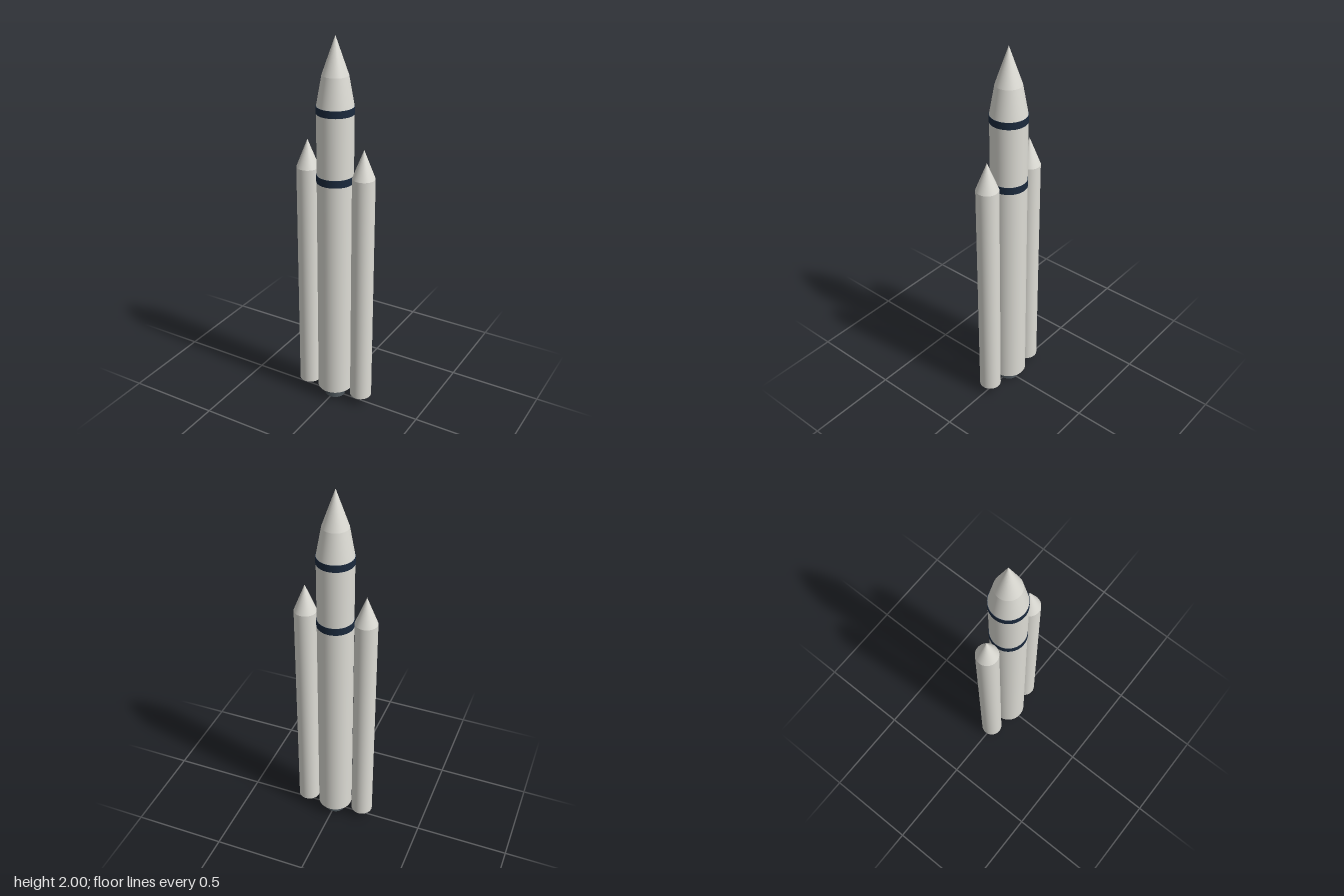
import * as THREE from 'three';

const material = (name, color) => Object.assign(new THREE.MeshStandardMaterial({ color }), { name });

export function createModel() {
  const rocket = new THREE.Group();
  rocket.name = 'rocket';
  const white = material('white paint', 0xdddcd5);
  const navy = material('navy band', 0x1b2a3e);
  const metal = material('dark nozzle metal', 0x434b50);

  // Tapered round section standing between two heights
  const section = (parent, name, mat, rBottom, rTop, y0, y1, open = false) => {
    const geometry = rTop === 0
      ? new THREE.ConeGeometry(rBottom, y1 - y0, 48, 1, open)
      : new THREE.CylinderGeometry(rTop, rBottom, y1 - y0, 48, 1, open);
    const mesh = new THREE.Mesh(geometry, mat);
    mesh.name = name;
    mesh.position.y = (y0 + y1) / 2;
    parent.add(mesh);
    return mesh;
  };

  // Core stage and two-step nose
  section(rocket, 'coreBody', white, 0.093, 0.093, 0.056, 1.66);
  section(rocket, 'noseLower', white, 0.093, 0.066, 1.66, 1.811, true);
  section(rocket, 'noseTip', white, 0.066, 0, 1.811, 2, true);

  // Painted bands, just proud of the body
  section(rocket, 'upperBand', navy, 0.095, 0.095, 1.624, 1.661);
  section(rocket, 'lowerBand', navy, 0.095, 0.095, 1.27, 1.309);

  // Engine nozzle
  section(rocket, 'engineNozzle', metal, 0.055, 0.034, 0, 0.057);

  // Side boosters
  for (const [name, side] of [['leftBooster', 1], ['rightBooster', -1]]) {
    const booster = new THREE.Group();
    booster.name = name;
    booster.position.x = side * 0.161;
    section(booster, 'boosterBody', white, 0.058, 0.058, 0.047, 1.317);
    section(booster, 'boosterNose', white, 0.058, 0, 1.317, 1.466, true);
    rocket.add(booster);
  }
  return rocket;
}
